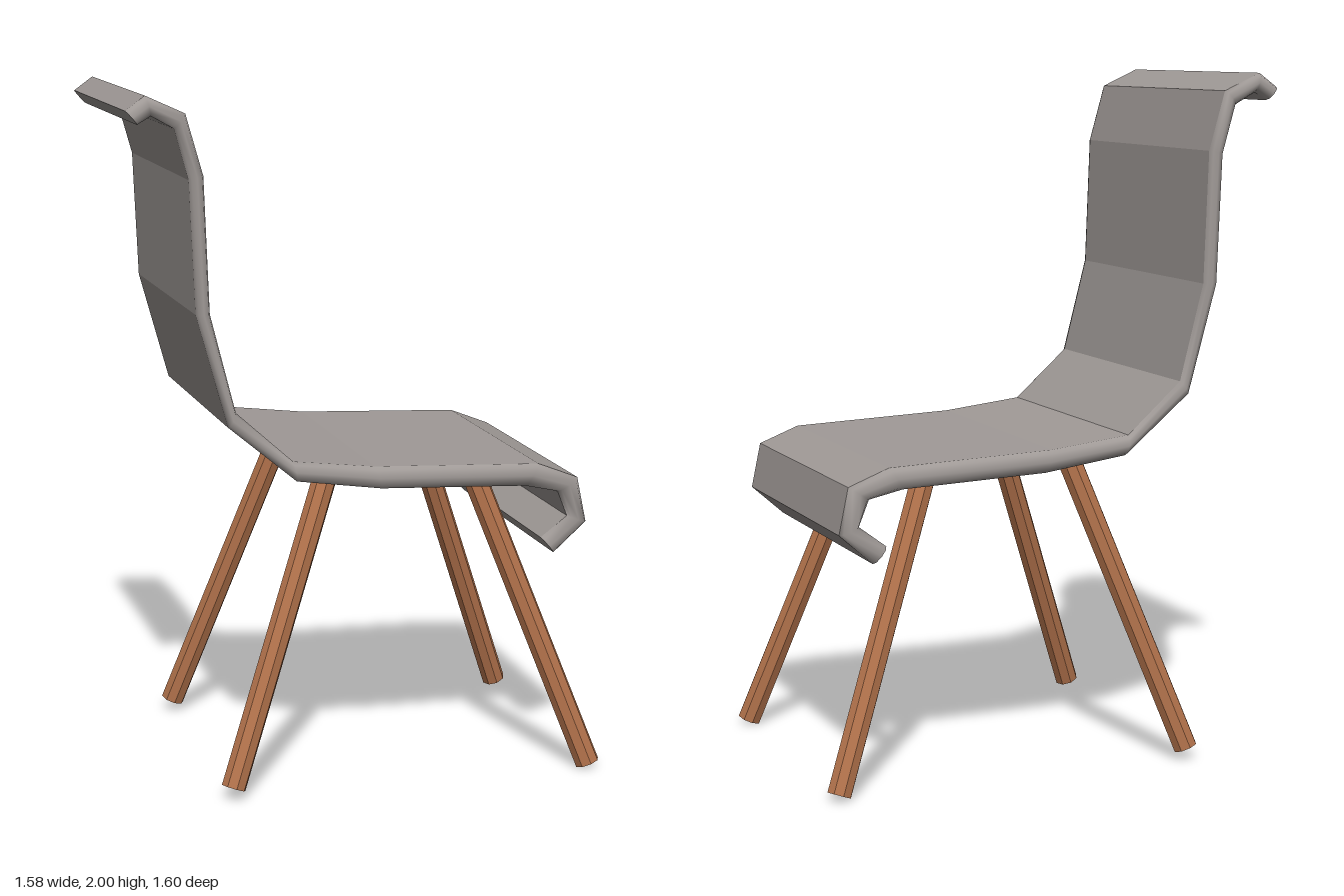
import * as THREE from 'three';

const grey = new THREE.MeshStandardMaterial({ color: 0xa09a97 });
grey.name = 'shell grey';
const wood = new THREE.MeshStandardMaterial({ color: 0xb3734c });
wood.name = 'leg wood';

// Side profile of the shell from headrest curl to front curl:
// [outer depth, outer height, inner depth, inner height]
const PROFILE = [
  [-0.667, 1.922, -0.70, 1.96],
  [-0.63, 1.945, -0.645, 2.0],
  [-0.567, 1.91, -0.535, 1.95],
  [-0.528, 1.77, -0.487, 1.78],
  [-0.513, 1.40, -0.473, 1.40],
  [-0.425, 1.08, -0.402, 1.12],
  [-0.228, 0.915, -0.239, 0.973],
  [0.02, 0.88, 0.0, 0.945],
  [0.45, 0.862, 0.49, 0.925],
  [0.55, 0.84, 0.61, 0.878],
  [0.58, 0.765, 0.638, 0.745],
  [0.50, 0.705, 0.54, 0.658],
];
const HALF = 0.412;   // half width of the flat panel
const BULGE = 0.021;  // how far the rounded rim stands out
const ARC = 4;

// Rounded rim from the inner to the outer face on one side
function rim([oz, oy, iz, iy], side) {
  const points = [];
  for (let k = 0; k <= ARC; k++) {
    const a = (Math.PI * k) / ARC;
    const t = (1 - Math.cos(a)) / 2;
    points.push(new THREE.Vector3(side * (HALF + BULGE * Math.sin(a)), iy + (oy - iy) * t, iz + (oz - iz) * t));
  }
  return side > 0 ? points : points.reverse();
}

// Surface through rows of points
function loft(rows, flat) {
  const n = rows[0].length;
  const index = [];
  for (let i = 0; i < rows.length - 1; i++) {
    for (let j = 0; j < n - 1; j++) {
      const a = i * n + j, b = a + n;
      index.push(a, b, b + 1, a, b + 1, a + 1);
    }
  }
  return finish(rows.flat(), index, flat);
}

function finish(points, index, flat) {
  let geometry = new THREE.BufferGeometry().setFromPoints(points);
  geometry.setIndex(index);
  if (flat) geometry = geometry.toNonIndexed();
  geometry.computeVertexNormals();
  return geometry;
}

// Flat end of the shell
function endCap(section, reverse) {
  const ring = [...rim(section, 1), ...rim(section, -1)];
  if (reverse) ring.reverse();
  const index = [];
  for (let k = 1; k < ring.length - 1; k++) index.push(0, k, k + 1);
  return finish(ring, index, true);
}

function add(parent, name, geometry, material) {
  const mesh = new THREE.Mesh(geometry, material);
  mesh.name = name;
  parent.add(mesh);
  return mesh;
}

function makeShell() {
  const shell = new THREE.Group();
  shell.name = 'seatShell';
  const P = (x, y, z) => new THREE.Vector3(x, y, z);
  add(shell, 'seatFace', loft(PROFILE.map(([, , z, y]) => [P(-HALF, y, z), P(HALF, y, z)]), true), grey);
  add(shell, 'underside', loft(PROFILE.map(([z, y]) => [P(HALF, y, z), P(-HALF, y, z)]), true), grey);
  for (const side of [1, -1]) {
    add(shell, side > 0 ? 'rimA' : 'rimB', loft(PROFILE.map((s) => rim(s, side)), false), grey);
  }
  add(shell, 'headrestEnd', endCap(PROFILE[0], false), grey);
  add(shell, 'frontEnd', endCap(PROFILE[PROFILE.length - 1], true), grey);
  return shell;
}

// Splayed round leg between two points
function makeLeg(parent, name, foot, top) {
  const axis = top.clone().sub(foot);
  const geometry = new THREE.CylinderGeometry(0.036, 0.036, axis.length(), 8).toNonIndexed();
  geometry.computeVertexNormals();
  const leg = add(parent, name, geometry, wood);
  leg.position.copy(foot).add(top).multiplyScalar(0.5);
  leg.quaternion.setFromUnitVectors(new THREE.Vector3(0, 1, 0), axis.normalize());
}

export function createModel() {
  const model = new THREE.Group();
  model.name = 'chair';
  const chair = new THREE.Group();
  chair.name = 'turnedChair';
  chair.add(makeShell());
  for (const side of [1, -1]) {
    makeLeg(chair, 'backLeg', new THREE.Vector3(side * 0.432, 0.036, -0.422), new THREE.Vector3(side * 0.277, 0.9, -0.108));
    makeLeg(chair, 'frontLeg', new THREE.Vector3(side * 0.432, 0.014, 0.651), new THREE.Vector3(side * 0.277, 0.89, 0.332));
  }
  // The chair stands turned about the vertical axis
  chair.rotation.y = 2.389;
  model.add(chair);
  return model;
}
